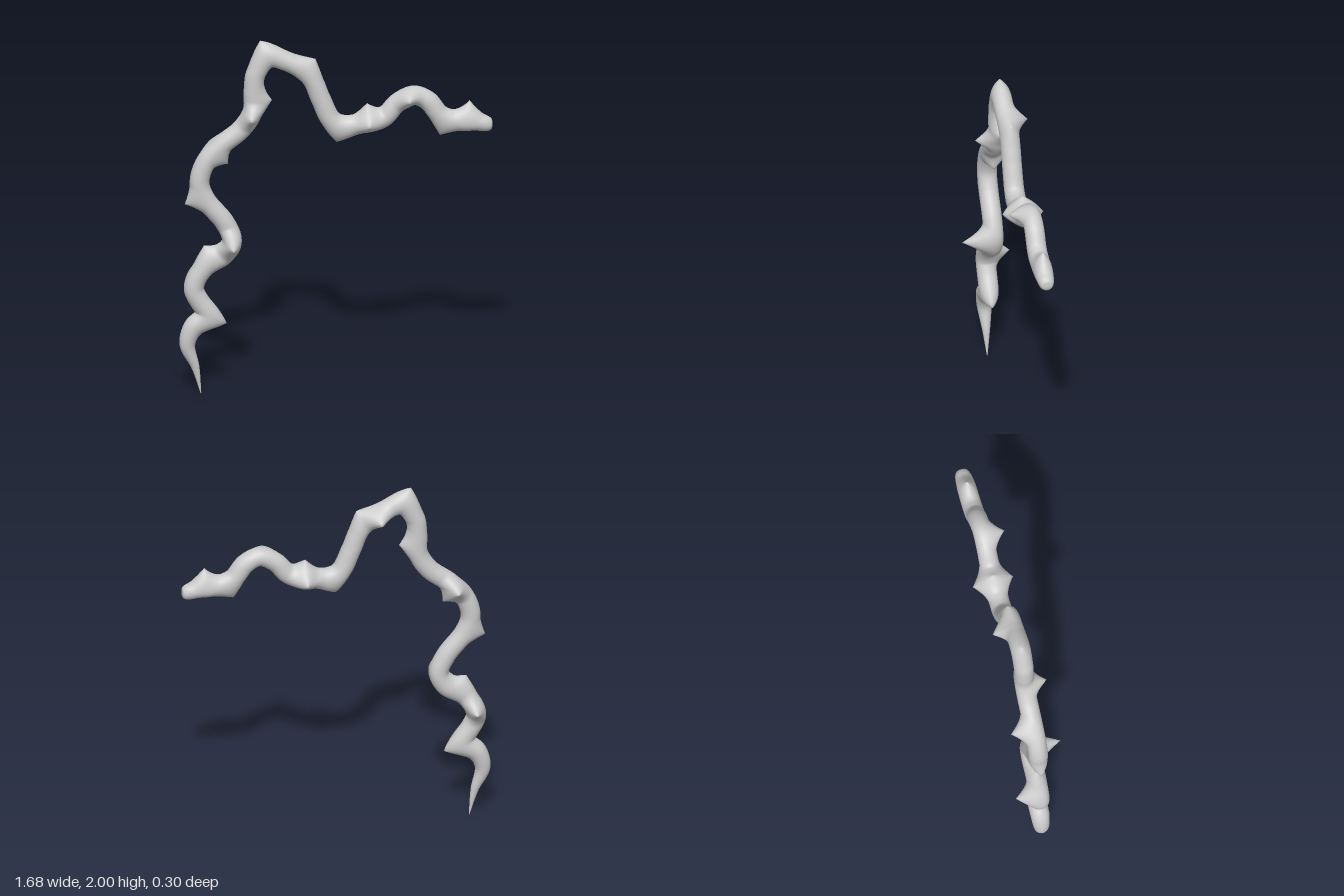
import * as THREE from 'three';

const Z = -0.022; // plane of the stem
const SIDES = 32, RINGS = 520;

// Stem centreline: x, y, radius
const path = [
  [-0.727, 0, 0.002], [-0.757, 0.15, 0.022], [-0.8, 0.28, 0.042], [-0.775, 0.37, 0.051], [-0.712, 0.46, 0.053],
  [-0.765, 0.6, 0.054], [-0.715, 0.71, 0.054], [-0.6, 0.79, 0.054], [-0.562, 0.87, 0.053], [-0.6, 0.97, 0.053],
  [-0.7, 1.1, 0.053], [-0.735, 1.2, 0.053], [-0.7, 1.32, 0.053], [-0.62, 1.41, 0.053], [-0.51, 1.5, 0.053],
  [-0.45, 1.6, 0.053], [-0.445, 1.72, 0.053], [-0.43, 1.82, 0.053], [-0.36, 1.895, 0.054], [-0.26, 1.875, 0.053],
  [-0.14, 1.785, 0.053], [-0.085, 1.66, 0.053], [-0.025, 1.535, 0.054], [0.04, 1.505, 0.055], [0.15, 1.515, 0.053],
  [0.25, 1.54, 0.053], [0.33, 1.625, 0.052], [0.415, 1.664, 0.051], [0.49, 1.63, 0.053], [0.56, 1.545, 0.053],
  [0.66, 1.51, 0.053], [0.75, 1.503, 0.05], [0.815, 1.487, 0.039], [0.832, 1.485, 0.028], [0.838, 1.485, 0.001],
];

// Thorn tips: x, y, z, spread of the base
const thorns = [
  [-0.588, 0.395, Z, 0.13], [-0.712, 0.842, Z, 0.12], [-0.815, 1.08, Z, 0.09], [-0.58, 1.3, Z, 0.08],
  [-0.345, 1.66, Z, 0.1], [-0.41, 2, Z, 0.14], [-0.113, 1.888, Z, 0.11], [0, 1.41, Z, 0.12],
  [0.165, 1.625, Z, 0.09], [0.555, 1.432, Z, 0.1], [0.715, 1.625, Z, 0.09],
  [-0.75, 0.65, -0.15, 0.1], [-0.65, 1.39, -0.15, 0.1], [-0.235, 1.84, -0.14, 0.09], [0.17, 1.51, -0.14, 0.11],
  [-0.565, 0.86, 0.15, 0.1], [-0.465, 1.58, 0.1, 0.09], [0.385, 1.66, 0.095, 0.09], [0.17, 1.52, 0.085, 0.1],
];

// Sweep a round section of varying radius along the flat centreline
function sweepStem() {
  const curve = new THREE.CatmullRomCurve3(path.map((p) => new THREE.Vector3(...p)), false, 'centripetal');
  const pts = curve.getSpacedPoints(RINGS);
  const verts = [], index = [];
  pts.forEach((p, i) => {
    const a = pts[Math.max(i - 2, 0)], b = pts[Math.min(i + 2, RINGS)];
    const len = Math.hypot(b.x - a.x, b.y - a.y) || 1;
    const nx = -(b.y - a.y) / len, ny = (b.x - a.x) / len;
    const r = Math.max(p.z, 0.0005);
    for (let j = 0; j < SIDES; j++) {
      const t = (j / SIDES) * Math.PI * 2, c = Math.cos(t) * r;
      verts.push(new THREE.Vector3(p.x + nx * c, p.y + ny * c, Z + Math.sin(t) * r));
      if (i < RINGS) {
        const k = (j + 1) % SIDES, u = i * SIDES, v = u + SIDES;
        index.push(u + j, u + k, v + j, u + k, v + k, v + j);
      }
    }
  });
  // Close both ends
  const last = RINGS * SIDES;
  for (let j = 1; j < SIDES - 1; j++) index.push(0, j + 1, j, last, last + j, last + j + 1);
  return { verts, index };
}

// Pull the surface nearest to each tip out into a thorn with a flared base
function pullThorns(verts) {
  const source = verts.map((v) => v.clone());
  for (const [x, y, z, spread] of thorns) {
    const tip = new THREE.Vector3(x, y, z);
    let base = source[0];
    for (const v of source) if (v.distanceToSquared(tip) < base.distanceToSquared(tip)) base = v;
    const pull = tip.clone().sub(base);
    source.forEach((v, i) => {
      const w = 1 - v.distanceTo(base) / spread;
      if (w > 0) verts[i].addScaledVector(pull, Math.pow(w, 1.6));
    });
  }
}

export function createModel() {
  const group = new THREE.Group();
  group.name = 'thornyVine';
  const { verts, index } = sweepStem();
  pullThorns(verts);
  const geometry = new THREE.BufferGeometry().setFromPoints(verts);
  geometry.setIndex(index);
  geometry.computeVertexNormals();
  const vine = new THREE.Mesh(geometry, new THREE.MeshStandardMaterial({ color: 0xcccccc }));
  vine.name = 'thornyStem';
  group.add(vine);
  return group;
}
